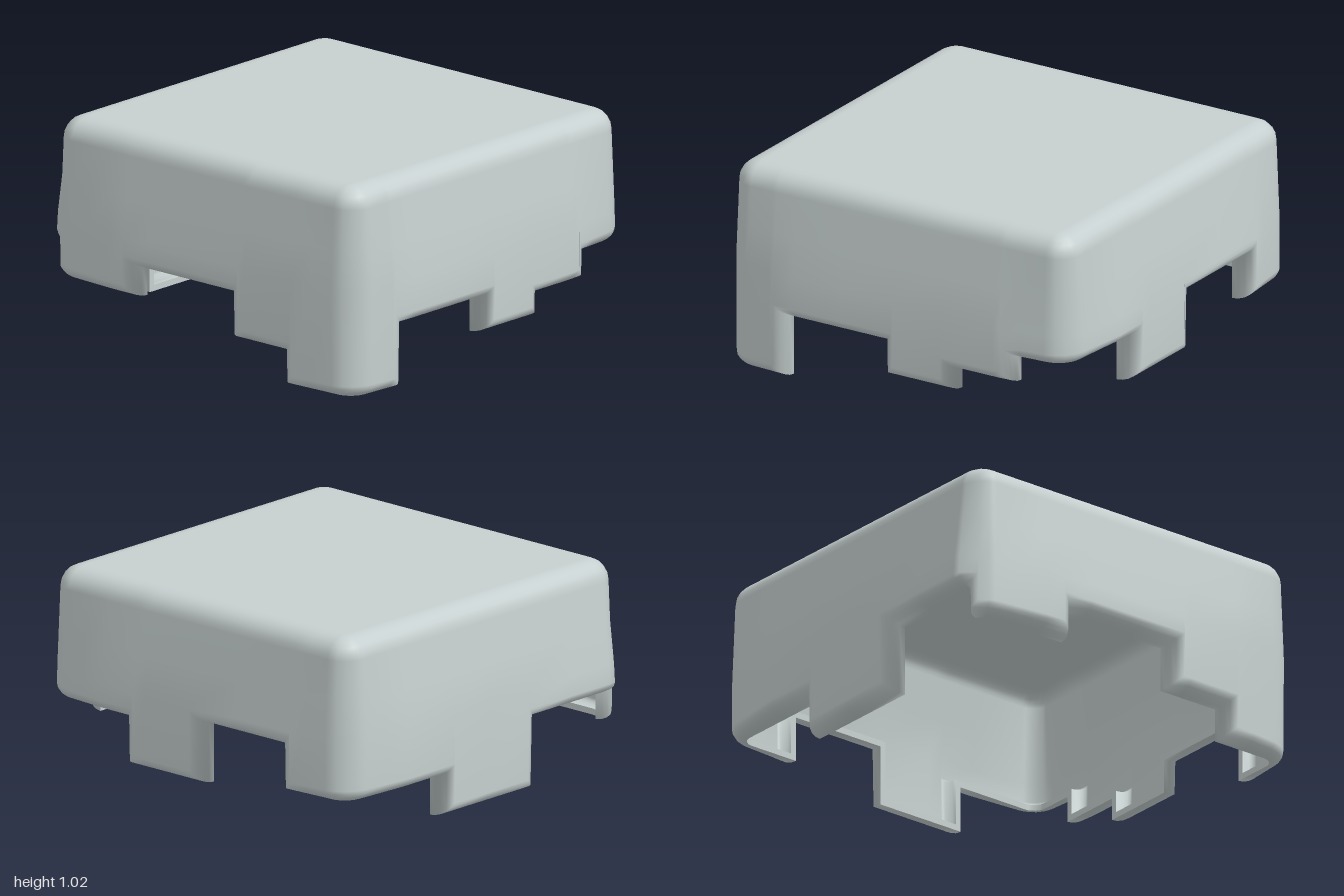
import * as THREE from 'three';
import { mergeVertices } from 'three/addons/utils/BufferGeometryUtils.js';

const H = 0.945;        // half width of the block at its shoulder
const R = 0.12;         // radius of the vertical corners
const L = H - R;
const BEVEL = 0.06;     // height of the hem's inward curl
const LIP = -0.055;     // where the curl ends, measured from the block's side
const SHOULDER = 0.1;   // rounding of the top edge
const TOP = 1.02;
const THICKNESS = 0.03;
const START = -0.62;    // first step of the hem, on the front

// Hem steps around the block: [end position on the side, height].
// Positions run left to right as seen from outside each side.
const sides = [
  [[-0.065, 0.31], [0.325, 0.14], [0.655, 0.25], [H, 0.38]],            // front
  [[-0.435, 0.38], [0.05, 0.15], [0.56, 0.45], [H, 0.225]],             // left
  [[-0.305, 0.225], [0.33, 0.03], [0.88, 0.38], [H, 0.24]],             // back
  [[-0.4, 0.24], [0.2, 0.385], [0.53, 0.165], [2 * H + START, 0]],      // right, round to the front
];

// Side number and position on that side for distance s along the perimeter
function locate(s) {
  const k = Math.round(s / (2 * H));
  return [k, s - 2 * H * k];
}

// Point on the rounded-square perimeter, moved along its normal
function onPerimeter(s, y, out) {
  const [k, a] = locate(s);
  const turn = Math.sign(a) * Math.max(0, Math.abs(a) - L) / R * Math.PI / 4;
  const r = R + out;
  const x = Math.max(-L, Math.min(L, a)) + r * Math.sin(turn);
  const z = L + r * Math.cos(turn);
  return new THREE.Vector3(x, y, z).applyAxisAngle(new THREE.Vector3(0, 1, 0), k * Math.PI / 2);
}

// Walls swell outwards at mid height and mid side; the back stays swollen
// right up to the sharp crease at its right corner
function swell(s, y) {
  const [k, a] = locate(s);
  const creased = k === 2 && a > 0;
  const fade = creased ? (0.93 - a) / 0.06 : (0.87 - Math.abs(a)) / 0.3;
  const along = 0.3 + 0.7 * THREE.MathUtils.clamp(fade, 0, 1);
  const up = y > 0.48 ? Math.max(0, (0.92 - y) / 0.44) : 0.75 + 0.25 * y / 0.48;
  return 0.055 * along * up;
}

// Closed stepped hem path; ds is the sideways direction of the curl
function hemPath() {
  const runs = [];
  sides.forEach((side, k) => side.forEach(([end, y]) => {
    const s = 2 * H * k + end;
    const last = runs[runs.length - 1];
    if (last && last.y === y) last.end = s;
    else runs.push({ end: s, y });
  }));

  const stops = [];
  for (let k = 0; k <= 4; k++) {
    for (const a of [-H, -L - R * 0.55, -L - R * 0.28, -L, -0.7, -0.56, -0.3, 0, 0.3, 0.56, 0.7, L, L + R * 0.28, L + R * 0.55]) {
      stops.push(2 * H * k + a);
    }
  }
  const path = [];
  let start = START;
  runs.forEach((run, i) => {
    const before = runs[(i + runs.length - 1) % runs.length];
    const after = runs[(i + 1) % runs.length];
    const ds0 = Math.sign(before.y - run.y);
    const ds1 = Math.sign(run.y - after.y);
    const from = start + Math.max(0, ds0) * BEVEL + 0.01;
    const to = run.end + Math.min(0, ds1) * BEVEL - 0.01;
    path.push({ s: start, y: run.y, ds: ds0 });
    for (const s of stops) if (s > from && s < to) path.push({ s, y: run.y, ds: 0 });
    path.push({ s: run.end, y: run.y, ds: ds1 });
    start = run.end;
  });
  return path;
}

// Loops of points from the curled hem up the walls to the middle of the top,
// at a given depth below the outer surface
function shellRows(path, depth) {
  const rows = [];
  for (let m = 0; m <= 5; m++) {
    const t = m / 5 * Math.PI / 2;
    const shift = BEVEL - (BEVEL - depth) * Math.cos(t);
    rows.push(path.map((p) => {
      const s = p.s + p.ds * shift, y = p.y + shift;
      return onPerimeter(s, y, THREE.MathUtils.lerp(LIP, swell(s, y) - depth, Math.sin(t)));
    }));
  }
  const ring = (y, inset) => path.map((p) => {
    const s = p.s + p.ds * BEVEL;
    return onPerimeter(s, y, swell(s, y) - inset);
  });
  for (const y of [0.53, 0.72]) rows.push(ring(y, depth));
  const radius = SHOULDER - depth;
  for (let m = 0; m <= 5; m++) {
    const t = m / 5 * Math.PI / 2;
    rows.push(ring(TOP - SHOULDER + radius * Math.sin(t), SHOULDER - radius * Math.cos(t)));
  }
  rows.push(ring(TOP - depth, SHOULDER + 0.015));
  rows.push(path.map(() => new THREE.Vector3(0, TOP - depth, 0)));
  return rows;
}

// Skin joining closed loops of points, one after another
function skin(rows) {
  const n = rows[0].length;
  const positions = [];
  const index = [];
  rows.forEach((row) => row.forEach((p) => positions.push(p.x, p.y, p.z)));
  for (let r = 0; r < rows.length - 1; r++) {
    for (let i = 0; i < n; i++) {
      const j = (i + 1) % n;
      const a = r * n + i, b = r * n + j, c = b + n, d = a + n;
      index.push(a, b, c, a, c, d);
    }
  }
  const geometry = new THREE.BufferGeometry();
  geometry.setAttribute('position', new THREE.Float32BufferAttribute(positions, 3));
  geometry.setIndex(index);
  const merged = mergeVertices(geometry, 1e-4);
  // drop collapsed triangles
  const ix = merged.index.array;
  const kept = [];
  for (let t = 0; t < ix.length; t += 3) {
    const [a, b, c] = [ix[t], ix[t + 1], ix[t + 2]];
    if (a !== b && b !== c && a !== c) kept.push(a, b, c);
  }
  merged.setIndex(kept);
  merged.computeVertexNormals();
  return merged;
}

export function createModel() {
  const group = new THREE.Group();
  group.name = 'steppedCover';
  const paleGrey = new THREE.MeshStandardMaterial({ color: 0xc6cfcf });
  paleGrey.name = 'paleGrey';

  const path = hemPath();
  const outer = shellRows(path, 0);
  const lining = shellRows(path, THICKNESS).reverse();
  const edge = [lining[lining.length - 1], outer[0]];

  for (const [name, rows] of [['outerShell', outer], ['innerLining', lining], ['hemEdge', edge]]) {
    const mesh = new THREE.Mesh(skin(rows), paleGrey);
    mesh.name = name;
    group.add(mesh);
  }
  return group;
}
